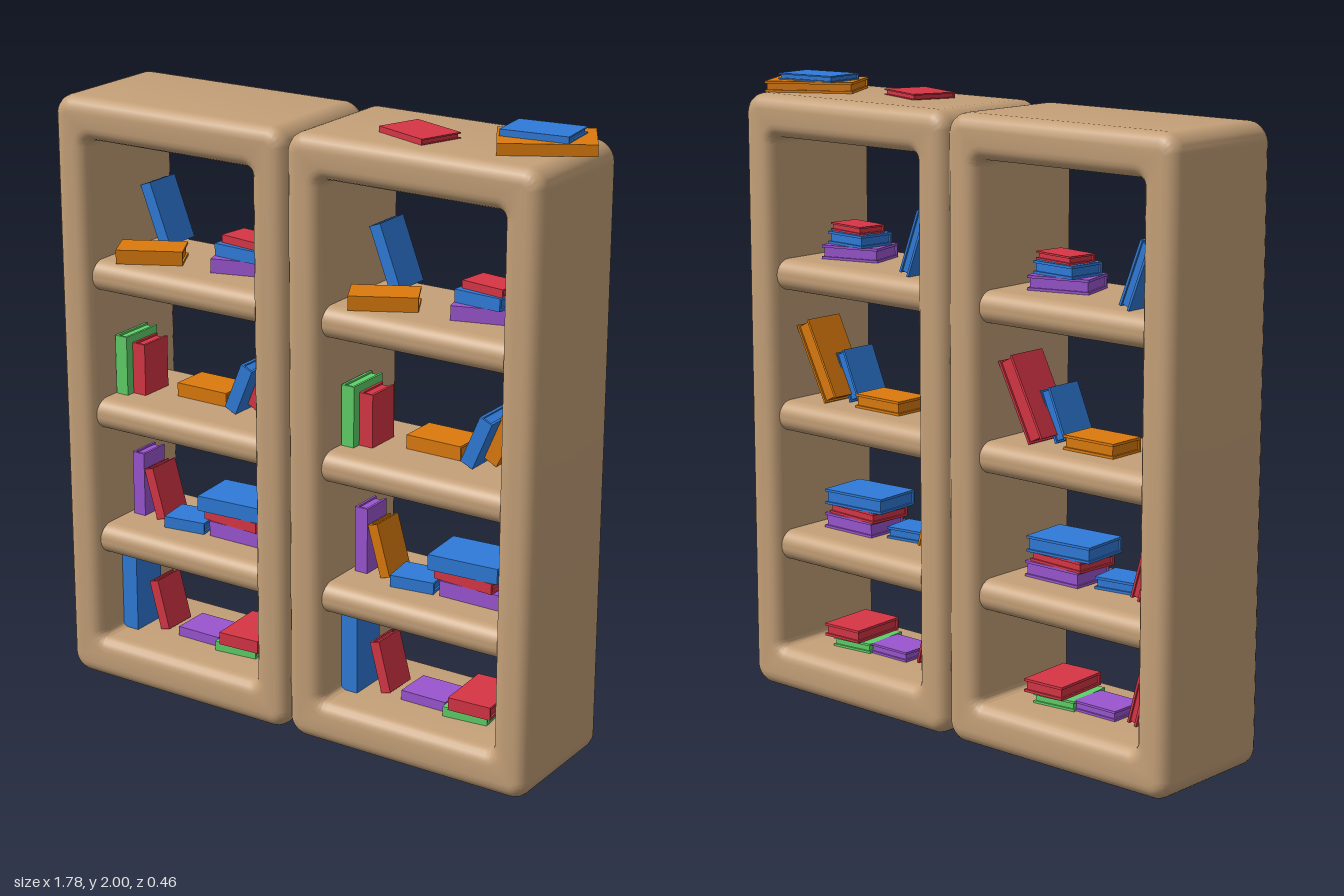
import * as THREE from 'three';
import { mergeGeometries, toCreasedNormals } from 'three/addons/utils/BufferGeometryUtils.js';
import { RoundedBoxGeometry } from 'three/addons/geometries/RoundedBoxGeometry.js';

const mat = (name, color) => {
  const m = new THREE.MeshStandardMaterial({ color });
  m.name = name;
  return m;
};

// Rounded rectangle traced onto a shape or hole path
function roundedRect(path, x0, y0, x1, y1, r) {
  path.moveTo(x0 + r, y0);
  path.lineTo(x1 - r, y0);
  path.absarc(x1 - r, y0 + r, r, -Math.PI / 2, 0);
  path.lineTo(x1, y1 - r);
  path.absarc(x1 - r, y1 - r, r, 0, Math.PI / 2);
  path.lineTo(x0 + r, y1);
  path.absarc(x0 + r, y1 - r, r, Math.PI / 2, Math.PI);
  path.lineTo(x0, y0 + r);
  path.absarc(x0 + r, y0 + r, r, Math.PI, Math.PI * 1.5);
  return path;
}

// Open case with softly rounded edges
function frameGeometry() {
  const b = 0.045, depth = 0.46;
  const shape = roundedRect(new THREE.Shape(), -0.432 + b, b, 0.432 - b, 1.945 - b, 0.02);
  shape.holes.push(roundedRect(new THREE.Path(), -0.307 - b, 0.14 - b, 0.307 + b, 1.81 + b, 0.065));
  const g = new THREE.ExtrudeGeometry(shape, {
    depth: depth - 2 * b, bevelEnabled: true, bevelSize: b, bevelThickness: b,
    bevelSegments: 5, curveSegments: 5,
  });
  g.translate(0, 0, -depth / 2 + b);
  return toCreasedNormals(g, 0.6);
}

// Book lying flat: two covers, a spine along +z and an inset page block
function bookGeometry(w, t, d) {
  const c = Math.min(0.008, t * 0.22), inset = 0.006;
  const box = (x, y, z, py, pz) => new THREE.BoxGeometry(x, y, z).translate(0, py, pz);
  return mergeGeometries([
    box(w, c, d, (t - c) / 2, 0),
    box(w, c, d, (c - t) / 2, 0),
    box(w, t, c, 0, (d - c) / 2),
    box(w - 2 * inset, t - 2 * c, d - inset - c, 0, (inset - c) / 2),
  ]);
}

export function createModel() {
  const group = new THREE.Group();
  const wood = mat('wood', 0xc4a078);
  const covers = {
    blue: mat('blue cover', 0x2f7bd9),
    red: mat('red cover', 0xd63545),
    orange: mat('orange cover', 0xdb7a0c),
    green: mat('green cover', 0x5fd068),
    purple: mat('purple cover', 0x9a55d0),
  };

  const addBook = (parent, name, color, w, t, d, x, y, z) => {
    const m = new THREE.Mesh(bookGeometry(w, t, d), covers[color]);
    m.name = name;
    m.position.set(x, y, z);
    parent.add(m);
    return m;
  };
  // Flat book resting on y, turned by deg about the vertical
  const flat = (parent, color, w, t, d, x, y, z, deg = 0) => {
    addBook(parent, 'flatBook', color, w, t, d, x, y + t / 2, z).rotation.y = THREE.MathUtils.degToRad(deg);
  };
  // Upright book resting on y; a positive lean tips its top towards -x
  const upright = (parent, color, h, t, d, x, y, z, lean = 0) => {
    const a = THREE.MathUtils.degToRad(lean);
    const half = (h * Math.cos(a) + t * Math.abs(Math.sin(a))) / 2;
    addBook(parent, lean ? 'leaningBook' : 'uprightBook', color, h, t, d, x, y + half, z).rotation.z = Math.PI / 2 + a;
  };

  const frame = frameGeometry();
  const shelf = new RoundedBoxGeometry(0.7, 0.1, 0.41, 5, 0.045);

  // Two matching bookcases; a few covers differ in colour
  const cases = [
    { name: 'rightBookcase', x: -0.462, tall: 'red', slim: 'red' },
    { name: 'leftBookcase', x: 0.402, tall: 'orange', slim: 'orange' },
  ];
  for (const { name, x, tall, slim } of cases) {
    const unit = new THREE.Group();
    unit.name = name;
    unit.position.x = x;
    group.add(unit);

    const body = new THREE.Mesh(frame, wood);
    body.name = 'frame';
    unit.add(body);
    for (const y of [0.48, 0.91, 1.37]) {
      const s = new THREE.Mesh(shelf, wood);
      s.name = 'shelf';
      s.position.y = y;
      unit.add(s);
    }

    // Top shelf
    upright(unit, 'blue', 0.21, 0.04, 0.13, -0.243, 1.42, -0.1, 21);
    flat(unit, 'orange', 0.21, 0.045, 0.12, -0.17, 1.42, 0.08, 28);
    flat(unit, 'purple', 0.2, 0.045, 0.14, 0.143, 1.42, 0, 16);
    flat(unit, 'blue', 0.16, 0.04, 0.13, 0.142, 1.465, 0, -4);
    flat(unit, 'red', 0.15, 0.025, 0.1, 0.152, 1.505, 0, -8);

    // Upper middle shelf
    upright(unit, 'green', 0.195, 0.045, 0.16, -0.281, 0.96, 0.03);
    upright(unit, 'red', 0.17, 0.048, 0.12, -0.234, 0.96, 0.02);
    flat(unit, 'orange', 0.19, 0.045, 0.13, -0.028, 0.96, -0.04);
    upright(unit, 'blue', 0.165, 0.045, 0.13, 0.144, 0.96, 0, -23);
    upright(unit, tall, 0.267, 0.06, 0.14, 0.216, 0.96, -0.06, -27);

    // Lower middle shelf
    upright(unit, 'purple', 0.215, 0.045, 0.11, -0.266, 0.53, 0);
    upright(unit, slim, 0.172, 0.035, 0.12, -0.198, 0.53, 0, 16);
    flat(unit, 'blue', 0.145, 0.038, 0.12, -0.068, 0.53, 0.03, 8);
    flat(unit, 'purple', 0.21, 0.05, 0.15, 0.137, 0.53, 0);
    flat(unit, 'red', 0.21, 0.035, 0.15, 0.117, 0.58, 0, -4);
    flat(unit, 'blue', 0.235, 0.05, 0.17, 0.11, 0.615, 0, 4);

    // Bottom
    upright(unit, 'blue', 0.265, 0.058, 0.13, -0.276, 0.14, 0.04);
    upright(unit, 'red', 0.168, 0.035, 0.12, -0.19, 0.14, 0, 15);
    flat(unit, 'purple', 0.16, 0.032, 0.13, -0.028, 0.14, 0);
    flat(unit, 'green', 0.15, 0.032, 0.17, 0.125, 0.14, 0, 6);
    flat(unit, 'red', 0.145, 0.042, 0.2, 0.152, 0.172, 0, 3);
  }

  // Loose books on top
  flat(group, 'red', 0.2, 0.02, 0.143, 0.33, 1.943, 0.052, -20);
  flat(group, 'orange', 0.285, 0.035, 0.2, 0.708, 1.945, -0.022, 30);
  flat(group, 'blue', 0.212, 0.02, 0.143, 0.693, 1.98, -0.028, 7);

  return group;
}
